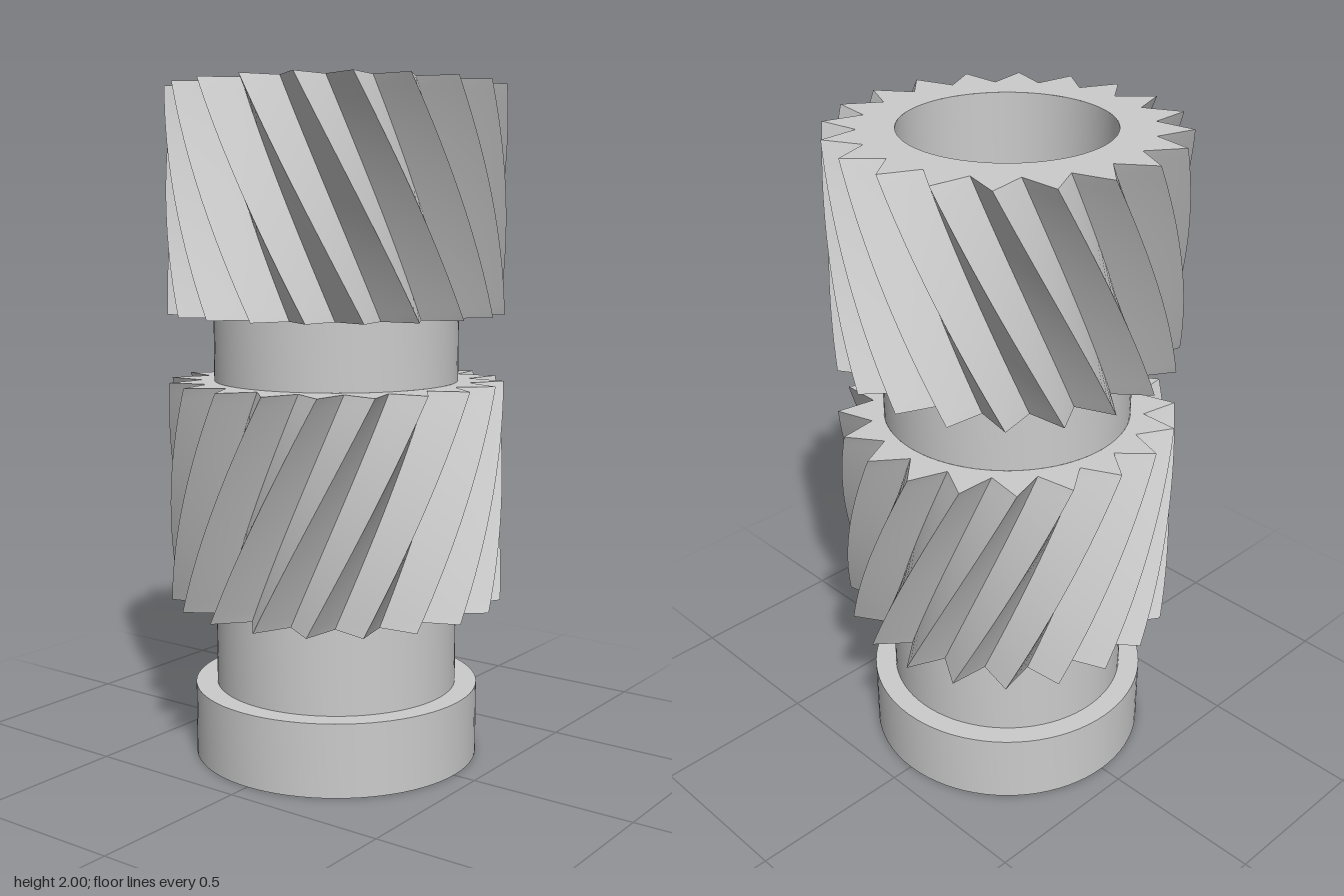
import * as THREE from 'three';
import { mergeGeometries, toCreasedNormals } from 'three/addons/utils/BufferGeometryUtils.js';

const TEETH = 20, TIP = 0.5, ROOT = 0.403, BORE = 0.3, NECK = 0.365;
const STEPS = 20, SIDES = 80;
const material = new THREE.MeshStandardMaterial({ color: 0xcccccc });

function part(name, geometry) {
  const mesh = new THREE.Mesh(geometry, material);
  mesh.name = name;
  return mesh;
}

// Turned surface from [radius, height] pairs, with sharp corners kept
function turned(profile) {
  const points = profile.map(([r, y]) => new THREE.Vector2(r, y));
  return toCreasedNormals(new THREE.LatheGeometry(points, SIDES), 0.6);
}

// Corner k of the toothed outline: even corners are roots, odd ones tips
function corner(k, turn) {
  const a = Math.PI / 2 + (k * Math.PI) / TEETH + turn;
  const r = k % 2 ? TIP : ROOT;
  return [r * Math.cos(a), r * Math.sin(a)];
}

// Twisted tooth flanks, one separate smooth strip per flank
function flanks(y0, y1, twist) {
  const pos = [], index = [];
  for (let k = 0; k < TEETH * 2; k++) {
    for (let s = 0; s <= STEPS; s++) {
      const t = s / STEPS, y = y0 + (y1 - y0) * t;
      for (const c of [k, k + 1]) {
        const [x, z] = corner(c, twist * t);
        pos.push(x, y, z);
      }
      if (s < STEPS) {
        const i = (k * (STEPS + 1) + s) * 2;
        index.push(i + 1, i, i + 2, i + 1, i + 2, i + 3);
      }
    }
  }
  const g = new THREE.BufferGeometry();
  g.setAttribute('position', new THREE.Float32BufferAttribute(pos, 3));
  g.setIndex(index);
  g.computeVertexNormals();
  return g.toNonIndexed();
}

// Flat toothed end face with a round hole; dir is 1 facing up, -1 facing down
function endFace(y, turn, hole, dir) {
  const outline = [];
  for (let k = 0; k < TEETH * 2; k++) {
    const [x, z] = corner(k, turn);
    outline.push(new THREE.Vector2(x, -dir * z));
  }
  const shape = new THREE.Shape(outline);
  shape.holes.push(new THREE.Path().absarc(0, 0, hole, 0, Math.PI * 2, true));
  const g = new THREE.ShapeGeometry(shape, SIDES).toNonIndexed();
  g.deleteAttribute('uv');
  return g.rotateX((-dir * Math.PI) / 2).translate(0, y, 0);
}

function helicalGear(y0, y1, twist, holeTop) {
  return mergeGeometries([
    flanks(y0, y1, twist),
    endFace(y0, 0, NECK, -1),
    endFace(y1, twist, holeTop, 1),
  ]);
}

export function createModel() {
  const group = new THREE.Group();
  group.name = 'doubleHelicalGearShaft';
  const twist = THREE.MathUtils.degToRad(39.5);

  // Base collar and the neck above it
  group.add(part('baseCollar', turned([
    [BORE, 0], [0.43, 0], [0.43, 0.218], [NECK, 0.218], [NECK, 0.483],
  ])));

  // Two gears of opposite hand, separated by a short neck
  group.add(part('lowerGear', helicalGear(0.483, 1.143, -twist, NECK)));
  group.add(part('upperNeck', turned([[NECK, 1.143], [NECK, 1.341]])));
  group.add(part('upperGear', helicalGear(1.341, 2, twist, BORE)));

  // Through hole
  group.add(part('bore', turned([[BORE, 2], [BORE, 0]])));
  return group;
}
